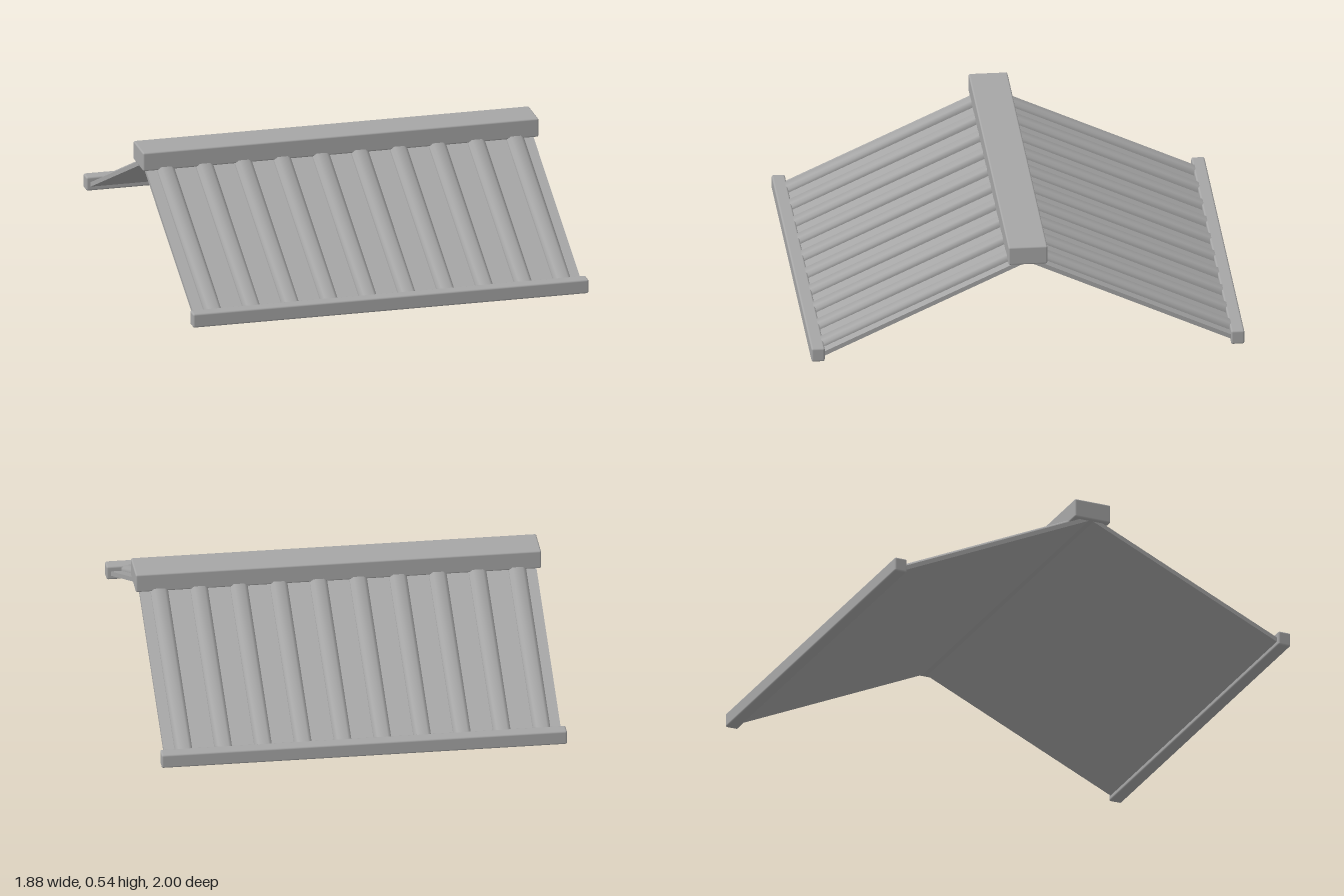
import * as THREE from 'three';
import { toCreasedNormals } from 'three/addons/utils/BufferGeometryUtils.js';
import { RoundedBoxGeometry } from 'three/addons/geometries/RoundedBoxGeometry.js';

const grey = new THREE.MeshStandardMaterial({ color: 0xa6a6a6 });
grey.name = 'grey metal';

function part(name, geometry, x, y, z) {
  const mesh = new THREE.Mesh(geometry, grey);
  mesh.name = name;
  mesh.position.set(x, y, z);
  return mesh;
}

// Batten with softened upper corners, running along +z
function ribGeometry(length) {
  const w = 0.04, h = 0.027;
  const profile = [[-w, 0], [w, 0], [w, h * 0.55], [w * 0.6, h], [-w * 0.6, h], [-w, h * 0.55]];
  const shape = new THREE.Shape(profile.map(([x, y]) => new THREE.Vector2(x, y)));
  const geo = new THREE.ExtrudeGeometry(shape, { depth: length, bevelEnabled: false });
  return toCreasedNormals(geo, Math.PI / 3);
}

export function createModel() {
  const roof = new THREE.Group();
  roof.name = 'gableRoof';

  // Ridge beam
  roof.add(part('ridgeBeam', new RoundedBoxGeometry(1.88, 0.09, 0.18, 2, 0.008), 0, 0.495, 0));

  const pitch = Math.atan2(0.435, 0.94);
  const length = 0.95 / Math.cos(pitch);
  const ribGeo = ribGeometry(length - 0.07);
  const panelGeo = new THREE.BoxGeometry(1.84, 0.02, length);
  const railGeo = new RoundedBoxGeometry(1.88, 0.068, 0.062, 2, 0.009);

  // Front and back halves
  for (const [name, turn] of [['front', 0], ['back', Math.PI]]) {
    const half = new THREE.Group();
    half.name = name + 'Half';
    half.rotation.y = turn;

    // Sloping sheet with ten battens
    const slope = new THREE.Group();
    slope.name = name + 'Slope';
    slope.position.y = 0.455;
    slope.rotation.x = pitch;
    slope.add(part('panel', panelGeo, 0, 0.01, length / 2));
    for (let i = 0; i < 10; i++) {
      slope.add(part('batten', ribGeo, -0.83 + i * (1.66 / 9), 0.019, 0.06));
    }

    // Eave rail
    half.add(slope, part('eaveRail', railGeo, 0, 0.034, 0.969));
    roof.add(half);
  }
  return roof;
}
